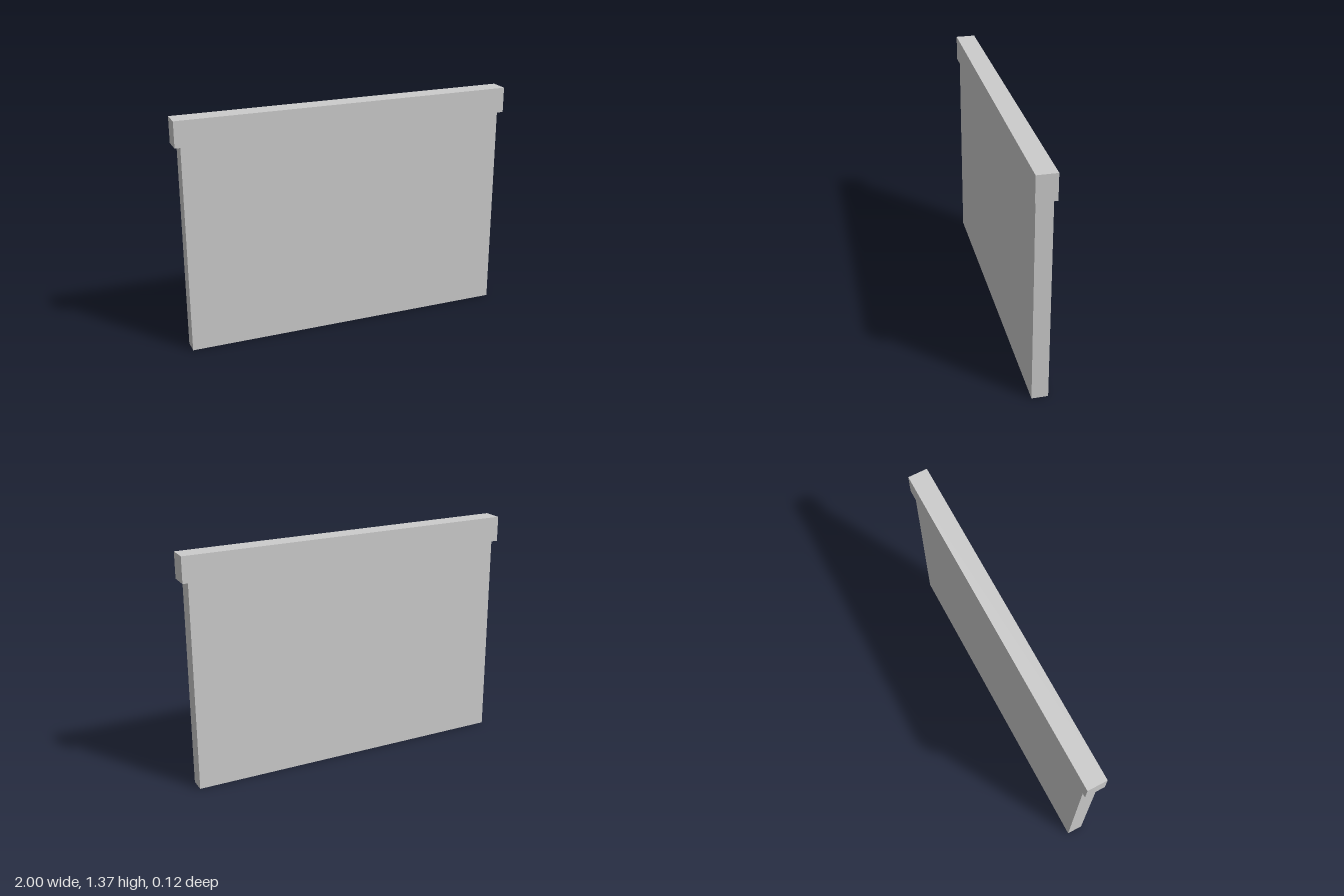
import * as THREE from 'three';

export function createModel() {
  const group = new THREE.Group();
  group.name = 'cappedWall';
  const material = new THREE.MeshStandardMaterial({ color: 0xcccccc });

  // Box standing on a given height
  function addBlock(name, width, height, depth, bottom) {
    const mesh = new THREE.Mesh(new THREE.BoxGeometry(width, height, depth), material);
    mesh.name = name;
    mesh.position.y = bottom + height / 2;
    group.add(mesh);
  }

  const wallHeight = 1.217;
  addBlock('wallPanel', 1.934, wallHeight, 0.093, 0);
  // Coping overhangs the wall on all four sides
  addBlock('coping', 2, 0.149, 0.115, wallHeight);

  return group;
}
